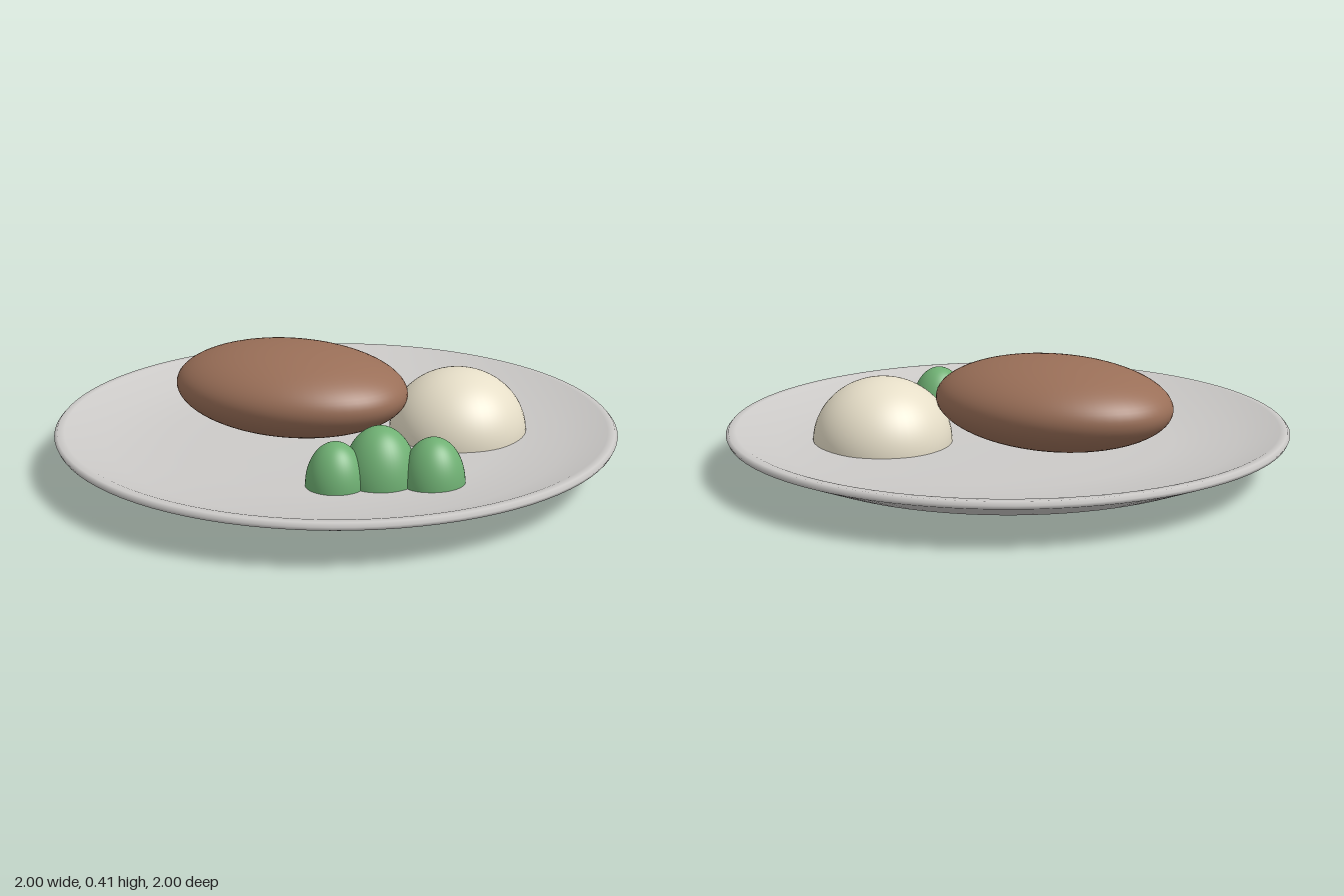
import * as THREE from 'three';

const mat = (name, color) => {
  const m = new THREE.MeshStandardMaterial({ color });
  m.name = name;
  return m;
};

export function createModel() {
  const group = new THREE.Group();
  group.name = 'dinnerPlate';
  const plateGrey = mat('plateGrey', 0xcccac8);
  const meatBrown = mat('meatBrown', 0x9a6f58);
  const cream = mat('cream', 0xe6dec8);
  const green = mat('green', 0x6fb073);

  const add = (name, geometry, material, x = 0, y = 0, z = 0) => {
    const mesh = new THREE.Mesh(geometry, material);
    mesh.name = name;
    mesh.position.set(x, y, z);
    group.add(mesh);
    return mesh;
  };

  // Plate: foot, sloping underside, thin rim and shallow well
  const profile = [
    [0, 0], [0.41, 0], [0.43, 0.035], [0.82, 0.065], [0.995, 0.14], [1, 0.152],
    [0.99, 0.163], [0.965, 0.163], [0.82, 0.108], [0.6, 0.09], [0.4, 0.086], [0, 0.085],
  ].map(([r, y]) => new THREE.Vector2(r, y));
  add('plate', new THREE.LatheGeometry(profile, 96), plateGrey);

  // Meat: flattened ellipsoid resting on the well
  const meat = add('meat', new THREE.SphereGeometry(1, 64, 40), meatBrown, -0.185, 0.25, 0);
  meat.scale.set(0.444, 0.158, 0.332);

  // Domed servings, each slightly sunk into the plate
  const dome = (name, material, x, z, radius, height) => {
    const geometry = new THREE.SphereGeometry(1, 48, 24, 0, Math.PI * 2, 0, Math.PI * 0.53);
    add(name, geometry, material, x, 0.091, z).scale.set(radius, height, radius);
  };
  dome('mashScoop', cream, 0.367, -0.262, 0.25, 0.229);
  dome('greenFront', green, 0.22, 0.44, 0.1, 0.146);
  dome('greenMiddle', green, 0.33, 0.33, 0.125, 0.184);
  dome('greenSide', green, 0.5, 0.278, 0.106, 0.155);

  return group;
}
